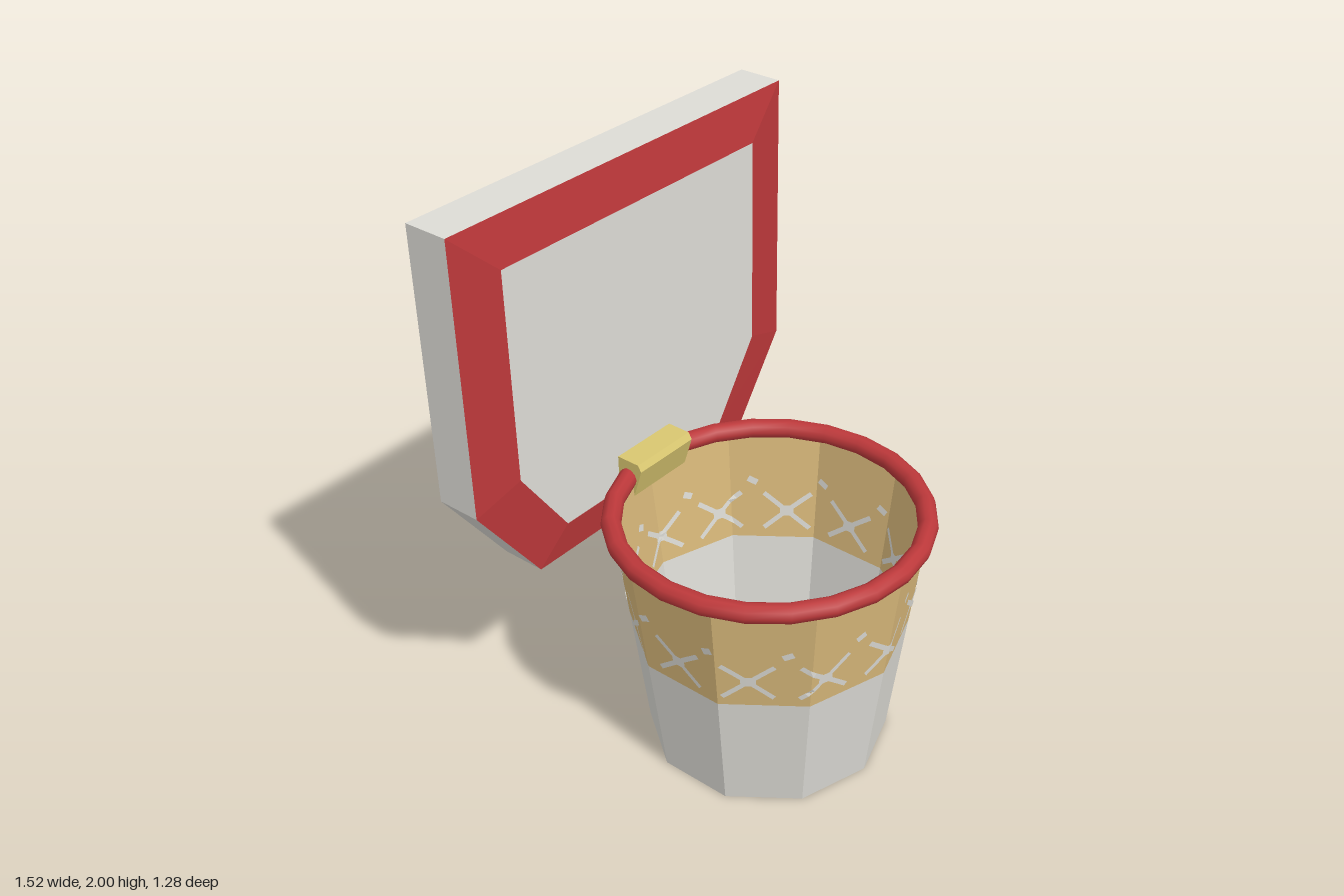
import * as THREE from 'three';
import { mergeGeometries } from 'three/addons/utils/BufferGeometryUtils.js';

const material = (name, color, flat = true) => {
  const m = new THREE.MeshStandardMaterial({ color, flatShading: flat, side: THREE.DoubleSide });
  m.name = name;
  return m;
};

// Quads joining two rows of points; closed rows wrap round.
function band(rowA, rowB, closed) {
  const n = rowA.length, pos = [...rowA, ...rowB].flat(), index = [];
  for (let i = 0; i < (closed ? n : n - 1); i++) {
    const j = (i + 1) % n;
    index.push(i, n + i, n + j, i, n + j, j);
  }
  const g = new THREE.BufferGeometry();
  g.setAttribute('position', new THREE.Float32BufferAttribute(pos, 3));
  g.setIndex(index);
  g.computeVertexNormals();
  return g;
}

export function createModel() {
  const model = new THREE.Group();
  model.name = 'basketballHoop';
  const red = material('red', 0xbc383a);
  const white = material('offWhite', 0xdcdbd5);
  const tan = material('netTan', 0xd8b87a);
  const yellow = material('bracketYellow', 0xd8c670);
  const add = (name, geometry, mat, parent = model) => {
    const mesh = new THREE.Mesh(geometry, mat);
    mesh.name = name;
    parent.add(mesh);
    return mesh;
  };

  // Backboard: open-backed shell with a raised centre panel
  const board = new THREE.Group();
  board.name = 'backboard';
  model.add(board);
  const outline = (half, top, shoulder, footHalf, foot) => [
    [-footHalf, foot], [footHalf, foot], [half, shoulder],
    [half, top], [-half, top], [-half, shoulder]];
  const outer = outline(0.76, 2, 1.035, 0.51, 0.69);
  const inner = outline(0.585, 1.84, 1.1, 0.395, 0.825);
  const atZ = (pts, z) => pts.map(([x, y]) => [x, y, z]);
  const panel = new THREE.ShapeGeometry(new THREE.Shape(inner.map(([x, y]) => new THREE.Vector2(x, y))));
  add('centrePanel', panel.translate(0, 0, -0.457), white, board);
  add('redBorder', band(atZ(inner, -0.457), atZ(outer, -0.482), true), red, board);
  add('boardRim', band(atZ(outer, -0.482), atZ(outer, -0.643), true), white, board);

  // Rim ring
  const cx = -0.01, cz = 0.088;
  const ring = new THREE.TorusGeometry(0.518, 0.034, 10, 24);
  ring.rotateX(Math.PI / 2);
  const ringRed = red.clone();
  ringRed.flatShading = false;
  add('rimRing', ring, ringRed).position.set(cx, 0.893, cz);

  // Net: ten-sided tapering sleeve, tan above and white below
  const netTop = 0.885, split = 0.465;
  const radius = (y) => 0.42 + (0.527 - 0.42) * y / netTop;
  const net = new THREE.Group();
  net.name = 'net';
  net.position.set(cx, 0, cz);
  model.add(net);
  const sleeve = (name, y0, y1, mat) =>
    add(name, new THREE.CylinderGeometry(radius(y1), radius(y0), y1 - y0, 10, 1, true), mat, net)
      .position.y = (y0 + y1) / 2;
  sleeve('lowerNet', 0, split, white);
  sleeve('upperNet', split, netTop, tan);

  // Point on the ten-sided sleeve, pushed out or in by a small offset
  const side = Math.PI / 5;
  const onNet = (angle, y, offset) => {
    const local = angle - Math.floor(angle / side) * side - side / 2;
    const r = (radius(y) * Math.cos(side / 2)) / Math.cos(local) + offset;
    return [r * Math.sin(angle), y, r * Math.cos(angle)];
  };
  // Painted strand centred on (angle, y), on both faces of the net
  const strands = [];
  function strand(angle, y, dx, dy, halfWidth) {
    const length = Math.hypot(dx, dy), nx = -dy / length * halfWidth, ny = dx / length * halfWidth;
    for (const offset of [0.004, -0.004]) {
      const rows = [[], []];
      for (let i = 0; i <= 8; i++) {
        const t = i / 4 - 1;
        [1, -1].forEach((s, k) => rows[k].push(
          onNet(angle + (dx * t + nx * s) / 0.48, y + dy * t + ny * s, offset)));
      }
      strands.push(offset > 0 ? band(rows[0], rows[1]) : band(rows[1], rows[0]));
    }
  }
  for (let i = 0; i < 12; i++) {
    const a = i * Math.PI / 6;
    strand(a, 0.575, 0.085, 0.07, 0.009);
    strand(a, 0.575, 0.085, -0.07, 0.009);
    strand(a, 0.575, 0.025, 0, 0.02);
    strand(a + Math.PI / 12, 0.695, 0.016, 0.008, 0.012);
  }
  add('netStrands', mergeGeometries(strands), white, net);

  // Bracket clamping the ring to the board
  const profile = [[-0.475, 0.825], [-0.39, 0.825], [-0.355, 0.935], [-0.368, 0.958], [-0.475, 0.958]];
  const bracket = new THREE.ExtrudeGeometry(
    new THREE.Shape(profile.map(([z, y]) => new THREE.Vector2(-z, y))),
    { depth: 0.262, bevelEnabled: false });
  bracket.rotateY(Math.PI / 2);
  add('bracket', bracket, yellow).position.x = -0.14;

  return model;
}
